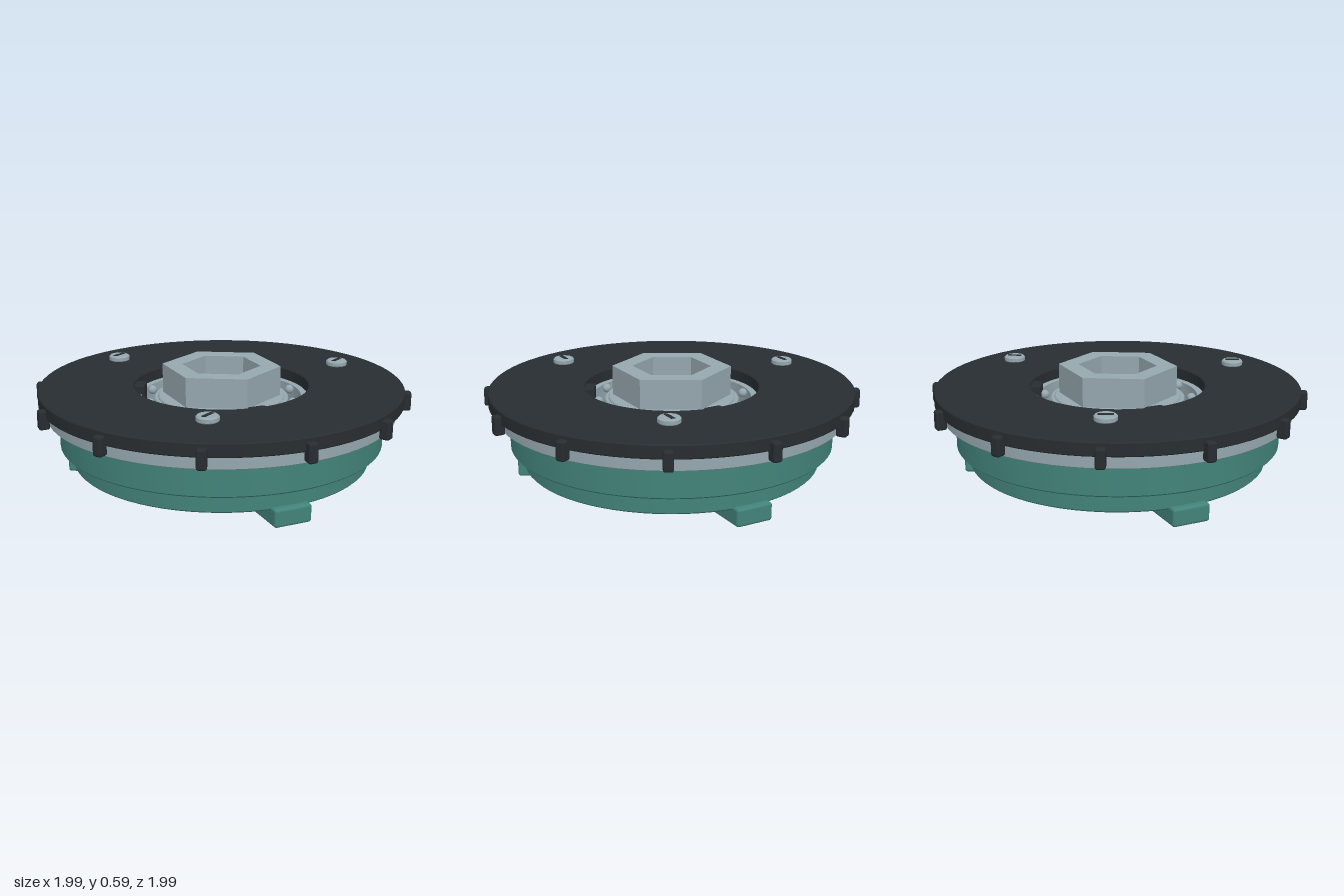
import * as THREE from 'three';
import { toCreasedNormals } from 'three/addons/utils/BufferGeometryUtils.js';
import { RoundedBoxGeometry } from 'three/addons/geometries/RoundedBoxGeometry.js';

const dark = new THREE.MeshStandardMaterial({ color: 0x282d31 });
const green = new THREE.MeshStandardMaterial({ color: 0x42837a });
const steel = new THREE.MeshStandardMaterial({ color: 0x95a7af });

export function createModel() {
  const model = new THREE.Group();

  const add = (name, geometry, material, parent = model) => {
    const mesh = new THREE.Mesh(geometry, material);
    mesh.name = name;
    parent.add(mesh);
    return mesh;
  };

  // Revolved closed profile of [radius, height] pairs, listed counter-clockwise
  const lathe = (points, segments = 72) => {
    const profile = [...points, points[0]].map(([r, y]) => new THREE.Vector2(r, y));
    return toCreasedNormals(new THREE.LatheGeometry(profile, segments), 0.5);
  };

  // Plain ring with a small bevel on the outer edges
  const ring = (ri, ro, y0, y1, b = 0.006) => lathe([
    [ri, y0], [ro - b, y0], [ro, y0 + b], [ro, y1 - b], [ro - b, y1], [ri, y1],
  ]);

  // Copies of a part spread around the axis
  const around = (count, name, geometry, material, radius, y) => {
    for (let i = 0; i < count; i++) {
      const a = (i / count) * Math.PI * 2;
      const mesh = add(name, geometry, material);
      mesh.position.set(radius * Math.cos(a), y, radius * Math.sin(a));
      mesh.rotation.y = -a;
    }
  };

  // Stepped housing and its steel liner
  add('housing', lathe([
    [0.58, 0.08], [0.777, 0.08], [0.785, 0.088], [0.785, 0.185], [0.847, 0.185],
    [0.855, 0.193], [0.855, 0.35], [0.58, 0.35],
  ]), green);
  add('housingLiner', ring(0.576, 0.582, 0.09, 0.36, 0.001), steel);
  add('spacerRing', ring(0.576, 0.92, 0.35, 0.425, 0.003), steel);

  // Cover plate with a neck around the bearing
  add('coverPlate', lathe([
    [0.46, 0.24], [0.52, 0.24], [0.52, 0.42], [0.955, 0.42],
    [0.96, 0.425], [0.96, 0.485], [0.955, 0.49], [0.465, 0.49], [0.46, 0.485],
  ]), dark);
  around(12, 'rimClip', new RoundedBoxGeometry(0.055, 0.1, 0.05, 2, 0.012), dark, 0.968, 0.42);

  // Bearing races and two rows of balls
  add('outerRace', ring(0.422, 0.462, 0.235, 0.43), steel);
  add('innerRace', ring(0.32, 0.355, 0.235, 0.425), steel);
  const ball = new THREE.SphereGeometry(0.024, 16, 12);
  for (const y of [0.25, 0.42]) around(10, 'bearingBall', ball, steel, 0.39, y);

  // Hub: round body with bore, hexagonal socket on top
  add('hubBody', ring(0.21, 0.335, 0.23, 0.435), steel);
  const hexagon = (Type, r) => {
    const path = new Type();
    for (let i = 0; i < 6; i++) {
      const a = (i * Math.PI) / 3;
      path[i ? 'lineTo' : 'moveTo'](r * Math.cos(a), r * Math.sin(a));
    }
    path.closePath();
    return path;
  };
  const hex = hexagon(THREE.Shape, 0.312);
  hex.holes.push(hexagon(THREE.Path, 0.207));
  const socket = new THREE.ExtrudeGeometry(hex, { depth: 0.26, bevelEnabled: false });
  socket.rotateX(-Math.PI / 2).translate(0, 0.33, 0);
  add('hexSocket', socket, steel);

  // Three arms, retaining clips and feet
  around(3, 'supportArm', new THREE.BoxGeometry(0.26, 0.06, 0.16), steel, 0.455, 0.2);
  around(3, 'retainingClip', new RoundedBoxGeometry(0.06, 0.1, 0.1, 2, 0.012), dark, 0.435, 0.43);
  around(3, 'foot', new RoundedBoxGeometry(0.33, 0.095, 0.2, 3, 0.015), green, 0.655, 0.0475);

  // Slotted screws
  for (let i = 0; i < 3; i++) {
    const a = Math.PI / 6 + (i * Math.PI * 2) / 3;
    const screw = new THREE.Group();
    screw.name = 'screw';
    screw.position.set(0.705 * Math.cos(a), 0.51, 0.705 * Math.sin(a));
    add('screwHead', lathe([[0, 0], [0.052, 0], [0.057, 0.005], [0.057, 0.023], [0.05, 0.03], [0, 0.03]], 28), steel, screw);
    add('screwSlot', new THREE.BoxGeometry(0.075, 0.006, 0.02), dark, screw).position.y = 0.03;
    model.add(screw);
  }

  return model;
}
